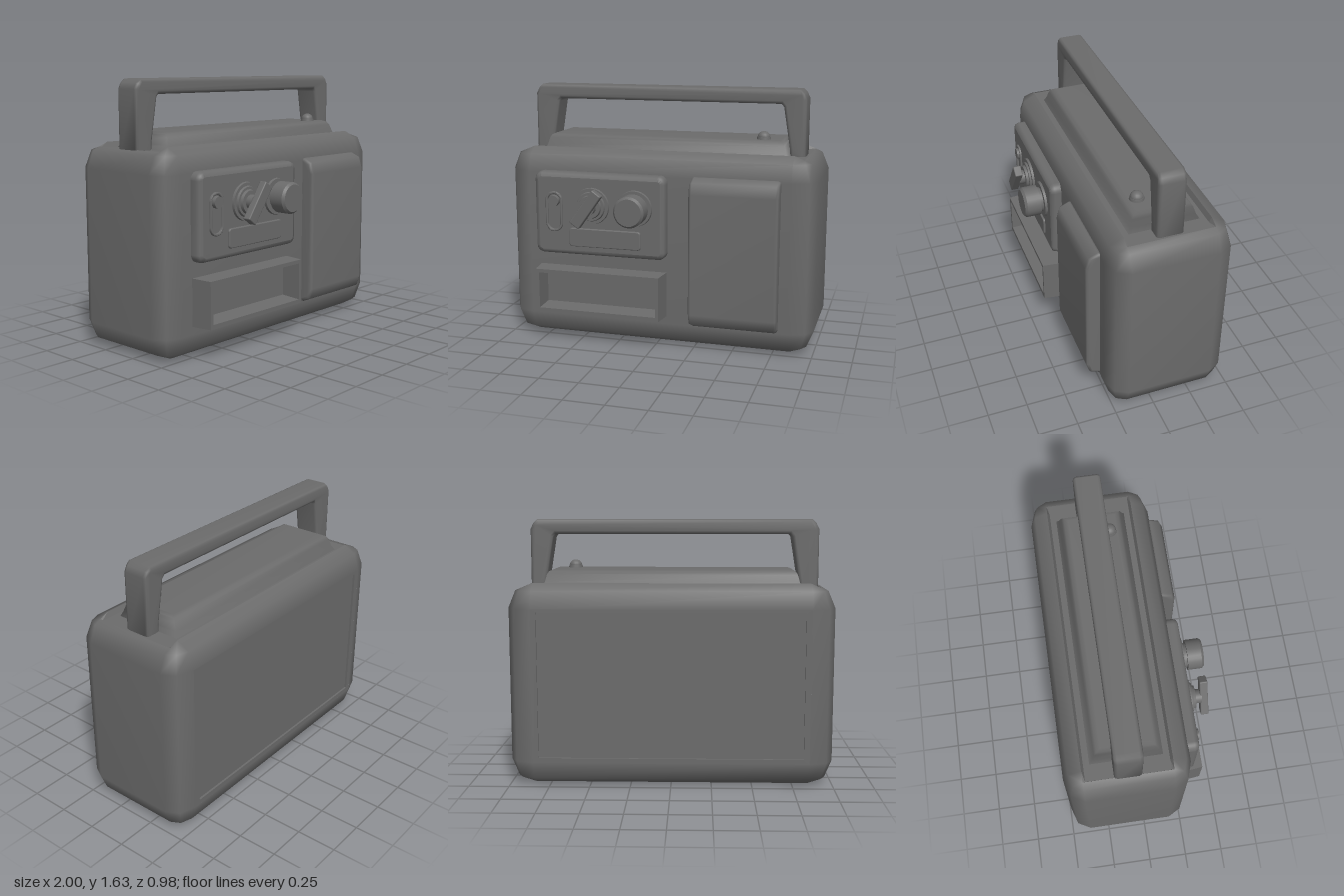
import * as THREE from 'three';
import { mergeVertices } from 'three/addons/utils/BufferGeometryUtils.js';

const grey = new THREE.MeshStandardMaterial({ color: 0x6b6b6b });
const faceted = new THREE.MeshStandardMaterial({ color: 0x6b6b6b, flatShading: true });

// Weld corners and blend normals by face area, so flats stay flat and bevels look round.
function soften(geometry) {
  geometry.deleteAttribute('normal');
  geometry.deleteAttribute('uv');
  const g = mergeVertices(geometry);
  g.computeVertexNormals();
  return g;
}

// Skin over equal-length loops of [x, y, z]; optional end caps and one quad left open.
function loft(loops, { capStart, capEnd, openQuad } = {}) {
  const n = loops[0].length, last = (loops.length - 1) * n, index = [];
  for (let j = 0; j < loops.length - 1; j++) {
    for (let i = 0; i < n; i++) {
      const a = j * n + i, b = j * n + (i + 1) % n;
      index.push(a, a + n, b, b, a + n, b + n);
    }
  }
  for (let i = 1; i < n - 1; i++) {
    if (capStart) index.push(0, i, i + 1);
    if (capEnd) index.push(last, last + i + 1, last + i);
  }
  const raw = new THREE.BufferGeometry();
  raw.setAttribute('position', new THREE.Float32BufferAttribute(loops.flat(2), 3));
  raw.setIndex(index);
  const g = soften(raw);
  if (openQuad !== undefined) {
    const kept = Array.from(g.index.array);
    kept.splice(openQuad * 6, 6);
    g.setIndex(kept);
  }
  return g;
}

const rect = (x0, x1, z0, z1, y) => [[x1, y, z0], [x1, y, z1], [x0, y, z1], [x0, y, z0]];

// Twelve-point loop: three points round each corner of the case.
function caseLoop(place) {
  const loop = [];
  [[1, 1], [-1, 1], [-1, -1], [1, -1]].forEach(([sx, sz], k) => {
    for (let s = 0; s < 3; s++) {
      const a = (k + s / 2) * Math.PI / 2;
      const [ox, y, oz] = place(Math.cos(a), Math.sin(a));
      loop.push([sx * 0.85 + ox, y, -0.105 + sz * 0.27 + oz]);
    }
  });
  return loop;
}
const ring = (r, y) => caseLoop((c, s) => [c * r, y, s * r * 0.767]);
const side = v => (Math.abs(v) < 0.1 ? 0 : Math.sign(v));

function roundRect(x0, x1, y0, y1, r) {
  const s = new THREE.Shape();
  s.absarc(x1 - r, y1 - r, r, 0, Math.PI / 2);
  s.absarc(x0 + r, y1 - r, r, Math.PI / 2, Math.PI);
  s.absarc(x0 + r, y0 + r, r, Math.PI, Math.PI * 1.5);
  s.absarc(x1 - r, y0 + r, r, Math.PI * 1.5, Math.PI * 2);
  return s;
}

const polygon = pts => new THREE.Shape(pts.map(p => new THREE.Vector2(...p)));

// Extrusion whose bevel stays within the outline and the range z0..z1.
function slab(shape, z0, z1, bevel = 0, segments = 2) {
  const g = new THREE.ExtrudeGeometry(shape, {
    depth: z1 - z0 - 2 * bevel, bevelEnabled: bevel > 0, bevelSize: bevel,
    bevelThickness: bevel, bevelOffset: -bevel, bevelSegments: segments, curveSegments: 6
  }).translate(0, 0, z0 + bevel);
  return bevel > 0 ? soften(g) : g;
}

export function createModel() {
  const model = new THREE.Group();
  const add = (name, geometry, material = grey, parent = model) => {
    const m = new THREE.Mesh(geometry, material);
    m.name = name;
    parent.add(m);
    return m;
  };

  // Case shell, left open for the top recess and the back panel
  const rim = caseLoop((c, s) => [side(c) * 0.06, 1.25 - 0.025 * Math.abs(side(c)), 0]);
  add('caseShell', loft([ring(0, 0), ring(0.106, 0.044), ring(0.15, 0.15),
    ring(0.15, 1.1), ring(0.106, 1.206), rim], { capStart: true, openQuad: 32 }));
  const floor = caseLoop((c, s) => [side(c) * 0.058, 1.218, side(s) * -0.015]);
  add('topRecess', loft([rim, floor], { capEnd: true }), faceted);

  // Back frame and sunken panel
  const frame = polygon([[-0.85, 0.15], [0.85, 0.15], [0.85, 1.1], [-0.85, 1.1]]);
  frame.holes.push(polygon([[-0.815, 0.18], [-0.815, 1.08], [0.815, 1.08], [0.815, 0.18]]));
  add('backFrame', slab(frame, -0.49, -0.475));
  add('backPanel', new THREE.BoxGeometry(1.66, 0.93, 0.02).translate(0, 0.625, -0.467));

  // Raised deck on top, with a small lamp
  add('topDeck', loft([
    rect(-0.81, 0.8, -0.325, 0.115, 1.215), rect(-0.79, 0.785, -0.305, 0.1, 1.25),
    rect(-0.778, 0.773, -0.29, 0.085, 1.295), rect(-0.768, 0.763, -0.275, 0.07, 1.315),
    rect(-0.745, 0.74, -0.25, 0.045, 1.325)
  ], { capEnd: true }));
  add('lampBase', new THREE.CylinderGeometry(0.043, 0.046, 0.02, 16).translate(0.63, 1.331, 0));
  add('lampDome', new THREE.SphereGeometry(0.04, 16, 6, 0, Math.PI * 2, 0, Math.PI / 2)
    .scale(1, 0.87, 1).translate(0.63, 1.34, 0));

  // Carrying handle
  const outer = [[0.89, 1.2], [0.89, 1.575], [0.873, 1.61], [0.848, 1.635]];
  const inner = [[0.73, 1.543], [0.745, 1.525], [0.788, 1.265], [0.788, 1.2]];
  const flip = (pts, centre) => pts.map(([x, y]) => [2 * centre - x, y]).reverse();
  add('handle', slab(polygon([...outer, ...flip(outer, -0.014), ...flip(inner, -0.003), ...inner]),
    -0.19, -0.022, 0.02));

  // Speaker cover: side profile swept across x
  const cover = polygon([[-0.25, 0.155], [-0.25, 1.112], [-0.285, 1.112], [-0.345, 1.085],
    [-0.367, 1.015], [-0.367, 0.25], [-0.345, 0.182], [-0.285, 0.155]]);
  add('speakerCover', slab(cover, 0.232, 0.79, 0.02).rotateY(Math.PI / 2));

  // Control panel and its label plate
  add('controlPanel', slab(roundRect(-0.785, 0.083, 0.58, 1.112, 0.05), 0.24, 0.35, 0.03));
  add('labelPlate', slab(roundRect(-0.548, -0.073, 0.64, 0.76, 0.02), 0.33, 0.362, 0.006));

  // Round control parts: [base radius, front radius, z start, z end]
  const stack = (name, x, y, discs) => {
    const group = new THREE.Group();
    group.name = name;
    discs.forEach(([r0, r1, z0, z1]) => add(name + 'Disc',
      new THREE.CylinderGeometry(r1, r0, z1 - z0, 28).rotateX(Math.PI / 2)
        .translate(x, y, (z0 + z1) / 2), grey, group));
    model.add(group);
    return group;
  };

  // Slide switch in a rounded rim
  const switchRim = roundRect(-0.705, -0.591, 0.73, 0.99, 0.056);
  switchRim.holes.push(roundRect(-0.688, -0.608, 0.747, 0.973, 0.039));
  add('switchRim', slab(switchRim, 0.33, 0.362, 0.004, 1));
  stack('switchButton', -0.648, 0.93, [[0.037, 0.035, 0.34, 0.375]]);

  // Selector with slanted pointer bar
  const selector = stack('selector', -0.396, 0.907, [[0.12, 0.115, 0.34, 0.365],
    [0.095, 0.09, 0.365, 0.378], [0.075, 0.07, 0.378, 0.395], [0.045, 0.045, 0.395, 0.435]]);
  const pointer = add('pointerBar', slab(roundRect(-0.13, 0.13, -0.036, 0.036, 0.008), 0.425, 0.475, 0.006),
    grey, selector);
  pointer.position.set(-0.396, 0.907, 0);
  pointer.rotation.z = 0.95;

  // Turning knob
  stack('volumeKnob', -0.112, 0.907, [[0.117, 0.112, 0.34, 0.365], [0.08, 0.08, 0.365, 0.385],
    [0.098, 0.098, 0.385, 0.475], [0.098, 0.085, 0.475, 0.49]]);

  // Open tray, built upwards then tipped forward
  add('tray', loft([
    rect(-0.78, 0.077, -0.49, -0.2, 0.26), rect(-0.762, 0.058, -0.488, -0.203, 0.415),
    rect(-0.74, 0.04, -0.465, -0.23, 0.415), rect(-0.735, 0.035, -0.455, -0.24, 0.285)
  ], { capEnd: true }).rotateX(Math.PI / 2), faceted);

  return model;
}
